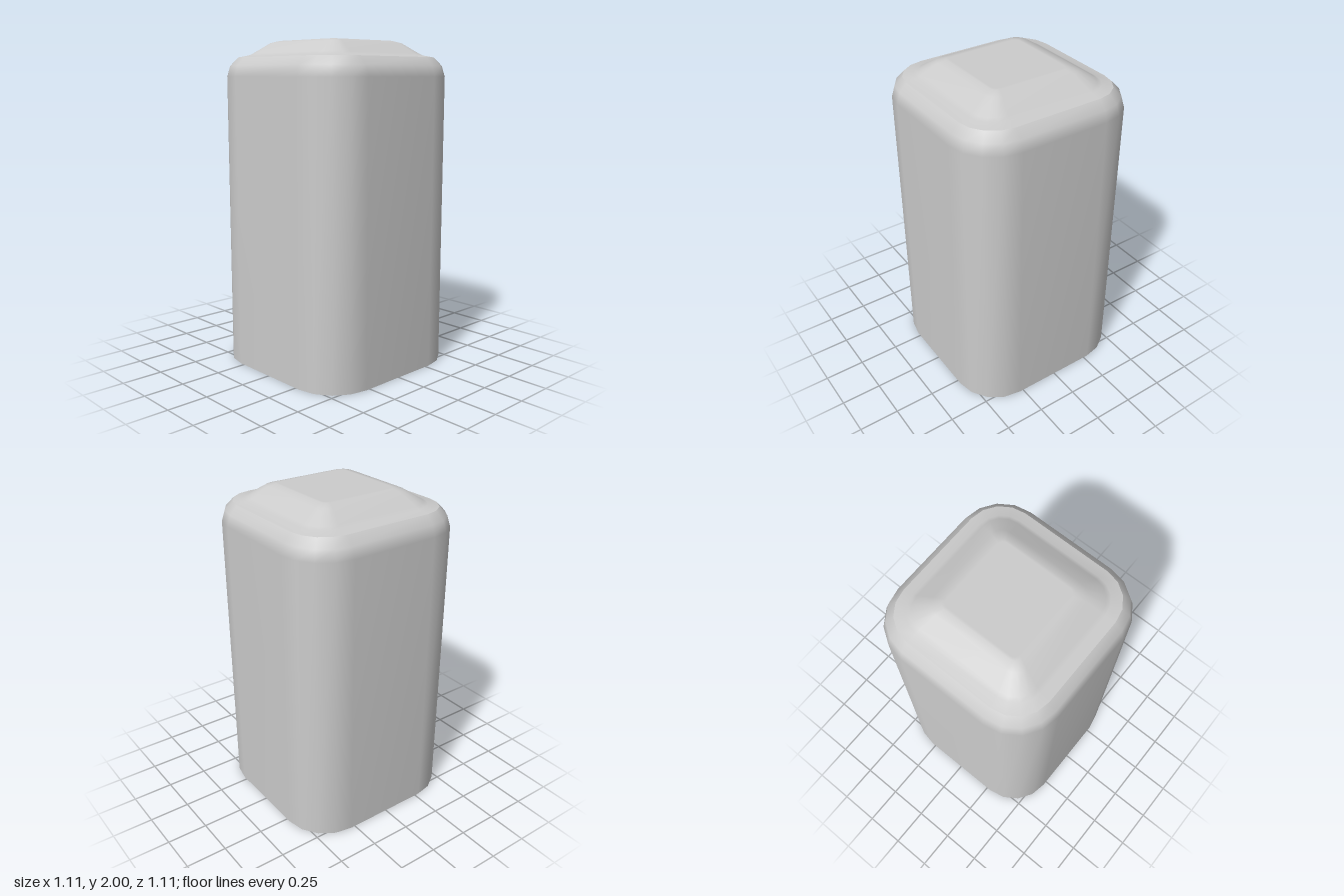
import * as THREE from 'three';

const CORNER_STEPS = 4;

// Rounded-square outline: half = half width, c = corner centre offset
function outline(half, y, c) {
  const pts = [];
  for (let q = 0; q < 4; q++) {
    const mid = (q + 0.5) * Math.PI / 2;
    const cx = c * Math.sign(Math.cos(mid)), cz = c * Math.sign(Math.sin(mid));
    for (let s = 0; s <= CORNER_STEPS; s++) {
      const a = (q + s / CORNER_STEPS) * Math.PI / 2;
      pts.push(cx + (half - c) * Math.cos(a), y, cz + (half - c) * Math.sin(a));
    }
  }
  return pts;
}

// Smooth skin through a stack of outlines [half, y, cornerCentre]
function loft(name, rings, material) {
  const n = 4 * (CORNER_STEPS + 1);
  const index = [];
  for (let r = 0; r < rings.length - 1; r++) {
    for (let i = 0; i < n; i++) {
      const j = (i + 1) % n;
      const a = r * n + i, b = r * n + j, c = a + n, d = b + n;
      index.push(b, a, c, b, c, d);
    }
  }
  const geometry = new THREE.BufferGeometry();
  geometry.setAttribute('position', new THREE.Float32BufferAttribute(rings.flatMap((r) => outline(...r)), 3));
  geometry.setIndex(index);
  geometry.computeVertexNormals();
  const mesh = new THREE.Mesh(geometry, material);
  mesh.name = name;
  return mesh;
}

export function createModel() {
  const group = new THREE.Group();
  group.name = 'roundedPillar';
  const grey = new THREE.MeshStandardMaterial({ color: 0xcccccc });

  // Flat underside
  group.add(loft('base', [[0, 0, 0], [0.555, 0, 0.277]], grey));

  // Straight walls with a rounded shoulder
  group.add(loft('body', [
    [0.555, 0, 0.277],
    [0.555, 1.785, 0.277],
    [0.535, 1.85, 0.277],
    [0.487, 1.9, 0.277],
  ], grey));

  // Raised top: shallow rim, slope and flat plateau
  group.add(loft('cap', [
    [0.487, 1.9, 0.277],
    [0.425, 1.912, 0.27],
    [0.4, 1.924, 0.265],
    [0.305, 1.986, 0.235],
    [0.255, 2, 0.215],
    [0.24, 2, 0.205],
    [0, 2, 0],
  ], grey));

  return group;
}
